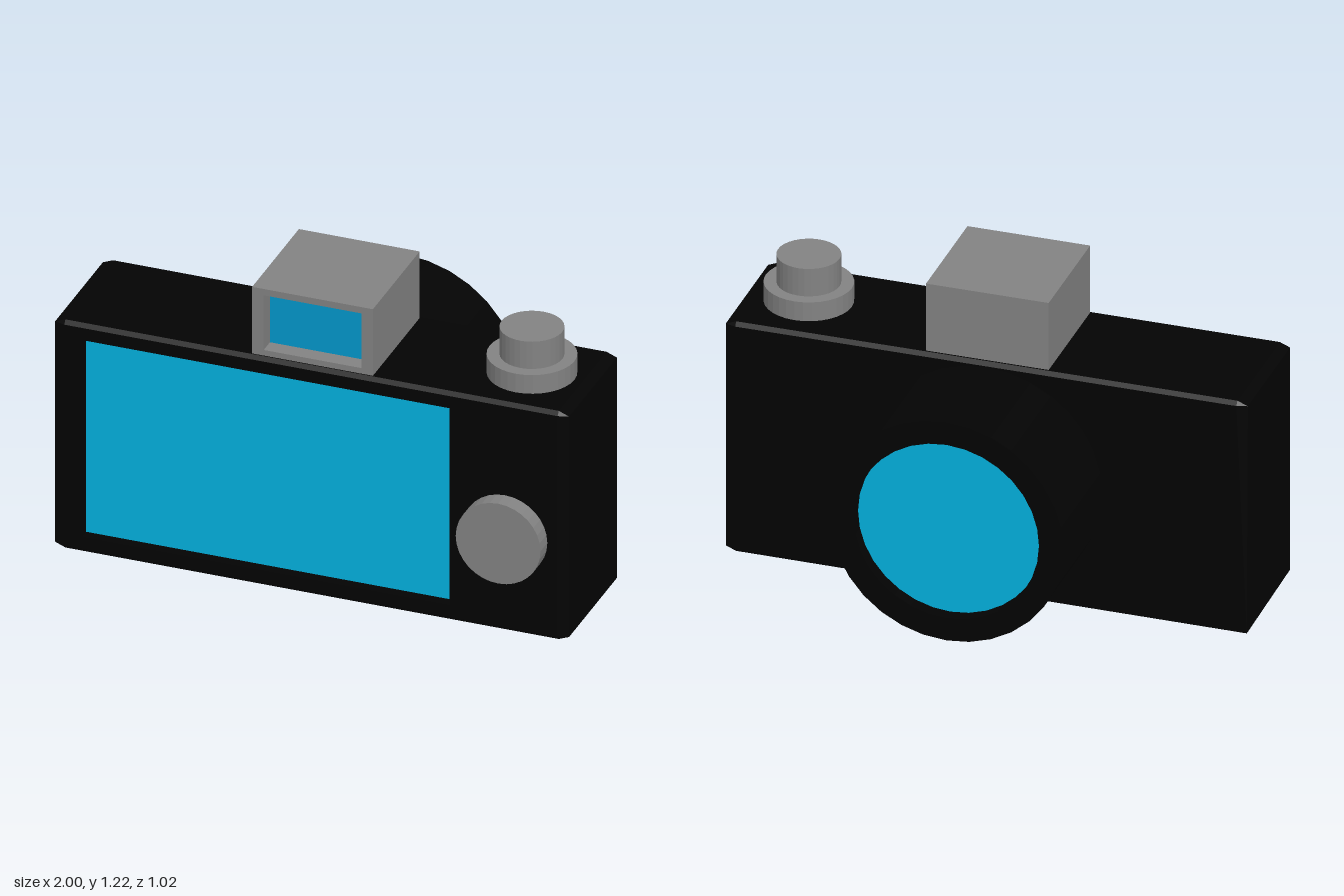
import * as THREE from 'three';
import { ConvexGeometry } from 'three/addons/geometries/ConvexGeometry.js';

const mat = (name, color, flatShading = false) => {
  const m = new THREE.MeshStandardMaterial({ color, flatShading });
  m.name = name;
  return m;
};

// Rectangular plate with a rectangular opening; each rectangle is [x0, x1, y0, y1]
const rect = (Type, [x0, x1, y0, y1]) => new Type([
  new THREE.Vector2(x0, y0), new THREE.Vector2(x1, y0),
  new THREE.Vector2(x1, y1), new THREE.Vector2(x0, y1)]);
const framePlate = (outer, opening, depth) => {
  const shape = rect(THREE.Shape, outer);
  shape.holes.push(rect(THREE.Path, opening));
  return new THREE.ExtrudeGeometry(shape, { depth, bevelEnabled: false });
};

// Box with narrow bevels and one sharp corner, left open where the front plate goes
function openBody(half, bevel) {
  const points = [];
  for (const sx of [-1, 1]) for (const sy of [-1, 1]) for (const sz of [-1, 1]) {
    const s = [sx, sy, sz];
    if (sx + sy + sz === -3) {
      points.push(new THREE.Vector3(-half[0], -half[1], -half[2]));
      continue;
    }
    for (let face = 0; face < 3; face++) {
      points.push(new THREE.Vector3(...s.map((v, i) => v * (half[i] - (i === face ? 0 : bevel[i])))));
    }
  }
  const hull = new ConvexGeometry(points);
  const pos = hull.attributes.position, normal = hull.attributes.normal;
  const kept = [];
  for (let i = 0; i < pos.count; i += 3) {
    if (normal.getZ(i) < 0.99) kept.push(i, i + 1, i + 2);
  }
  hull.setIndex(kept);
  return hull;
}

export function createModel() {
  const black = mat('black casing', 0x030303, true);
  const grey = mat('grey metal', 0x828282, true);
  const blue = mat('blue glass', 0x02b1de);
  const deepBlue = mat('viewfinder blue', 0x0297ca);

  const model = new THREE.Group();
  model.name = 'camera';
  const add = (name, geometry, material, x, y, z) => {
    const mesh = new THREE.Mesh(geometry, material);
    mesh.name = name;
    mesh.position.set(x, y, z);
    model.add(mesh);
    return mesh;
  };
  const disc = (r, h) => new THREE.CylinderGeometry(r, r, h, 32);

  // Body with a front plate around the sunken screen
  add('body', openBody([1, 0.4715, 0.252], [0.04, 0.016, 0.012]), black, 0, 0.4715, 0.189);
  add('frontPlate', framePlate([-0.96, 0.96, 0.016, 0.927], [-0.89, 0.54, 0.065, 0.877], 0.04),
    black, 0, 0, 0.401);
  add('screen', new THREE.PlaneGeometry(1.43, 0.812), blue, -0.175, 0.471, 0.402);

  // Round control dial on the front
  add('controlDial', disc(0.165, 0.08), grey, 0.755, 0.395, 0.47).rotation.x = Math.PI / 2;

  // Lens barrel with a sunken glass at the back
  const barrel = [[0.448, 0], [0.448, 0.455], [0.355, 0.455], [0.355, 0.4]]
    .map(([r, h]) => new THREE.Vector2(r, h));
  add('lensBarrel', new THREE.LatheGeometry(barrel, 32), black, 0, 0.474, -0.055)
    .rotation.x = -Math.PI / 2;
  add('lensGlass', new THREE.CircleGeometry(0.356, 32), blue, 0, 0.474, -0.46).rotation.y = Math.PI;

  // Stepped shutter button
  add('shutterBase', disc(0.165, 0.09), grey, 0.763, 0.975, 0.19);
  add('shutterButton', disc(0.118, 0.125), grey, 0.763, 1.07, 0.19);

  // Viewfinder housing with a sunken window
  add('viewfinderHousing', new THREE.BoxGeometry(0.47, 0.288, 0.405), grey, 0, 1.074, 0.1575);
  add('viewfinderFrame',
    framePlate([-0.235, 0.235, 0.93, 1.218], [-0.19, 0.19, 0.966, 1.192], 0.065), grey, 0, 0, 0.36);
  add('viewfinderWindow', new THREE.PlaneGeometry(0.38, 0.226), deepBlue, 0, 1.079, 0.362);

  return model;
}
